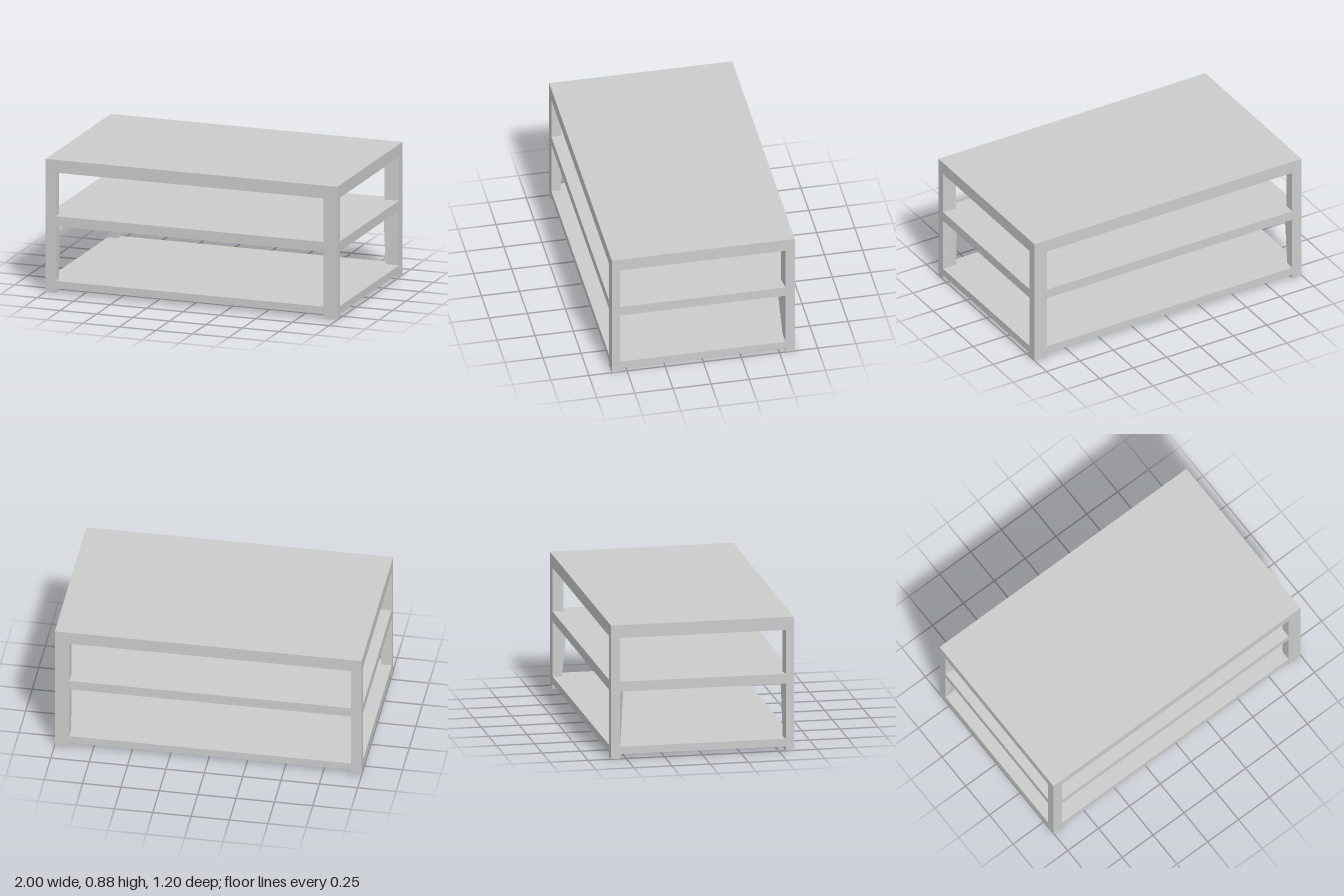
import * as THREE from 'three';

const material = new THREE.MeshStandardMaterial({ color: 0xcccccc, flatShading: true, side: THREE.DoubleSide });
const W = 2, D = 1.2;
const INNER_X = { 1: 0.905, '-1': 0.93 };
const INNER_Z = { 1: 0.545, '-1': 0.54 };

function add(group, name, geometry) {
  const mesh = new THREE.Mesh(geometry, material);
  mesh.name = name;
  group.add(mesh);
  return mesh;
}

function slab(group, name, y0, y1) {
  add(group, name, new THREE.BoxGeometry(W, y1 - y0, D)).position.y = (y0 + y1) / 2;
}

// Corner post; its inner corner edge leans from zBottom to zTop
function post(group, name, sx, sz, y0, y1, zBottom, zTop) {
  const ix = INNER_X[sx], iz = INNER_Z[sz];
  const geometry = new THREE.BoxGeometry(1 - ix, y1 - y0, D / 2 - iz);
  geometry.translate(sx * (1 + ix) / 2, (y0 + y1) / 2, sz * (D / 2 + iz) / 2);
  const p = geometry.attributes.position;
  const middle = (y0 + y1) / 2;
  for (let i = 0; i < p.count; i++) {
    const innerX = Math.abs(p.getX(i)) < 0.97, innerZ = Math.abs(p.getZ(i)) < 0.57;
    if (innerX && innerZ) p.setZ(i, sz * (p.getY(i) > middle ? zTop : zBottom));
  }
  geometry.computeVertexNormals();
  add(group, name, geometry);
}

// Thin shelf with a skirt, open underneath
function openShelf(group, y0, y1) {
  const shelf = new THREE.Group();
  shelf.name = 'bottomShelf';
  const h = y1 - y0, y = (y0 + y1) / 2;
  const panel = new THREE.PlaneGeometry(W, D).rotateX(-Math.PI / 2);
  add(shelf, 'bottomShelfPanel', panel).position.y = y1;
  for (const s of [1, -1]) {
    const long = new THREE.PlaneGeometry(W, h).rotateY(s > 0 ? 0 : Math.PI);
    add(shelf, s > 0 ? 'frontSkirt' : 'backSkirt', long).position.set(0, y, s * D / 2);
    const short = new THREE.PlaneGeometry(D, h).rotateY(s * Math.PI / 2);
    add(shelf, s > 0 ? 'leftSkirt' : 'rightSkirt', short).position.set(s * W / 2, y, 0);
  }
  group.add(shelf);
}

export function createModel() {
  const table = new THREE.Group();
  table.name = 'coffeeTable';

  // Three levels
  slab(table, 'tableTop', 0.8, 0.885);
  slab(table, 'middleShelf', 0.445, 0.51);
  openShelf(table, 0.03, 0.08);

  // Feet and posts at the four corners
  for (const sx of [1, -1]) {
    for (const sz of [1, -1]) {
      const side = (sz > 0 ? 'front' : 'back') + (sx > 0 ? 'Left' : 'Right');
      const iz = INNER_Z[sz];
      const lowerTop = sz > 0 ? 0.525 : 0.505;
      const upper = sz > 0 ? 0.537 : 0.528;
      post(table, side + 'Foot', sx, sz, 0, 0.08, iz, iz);
      post(table, side + 'LowerPost', sx, sz, 0.08, 0.445, 0.539, lowerTop);
      post(table, side + 'UpperPost', sx, sz, 0.51, 0.8, upper, upper);
    }
  }
  return table;
}
